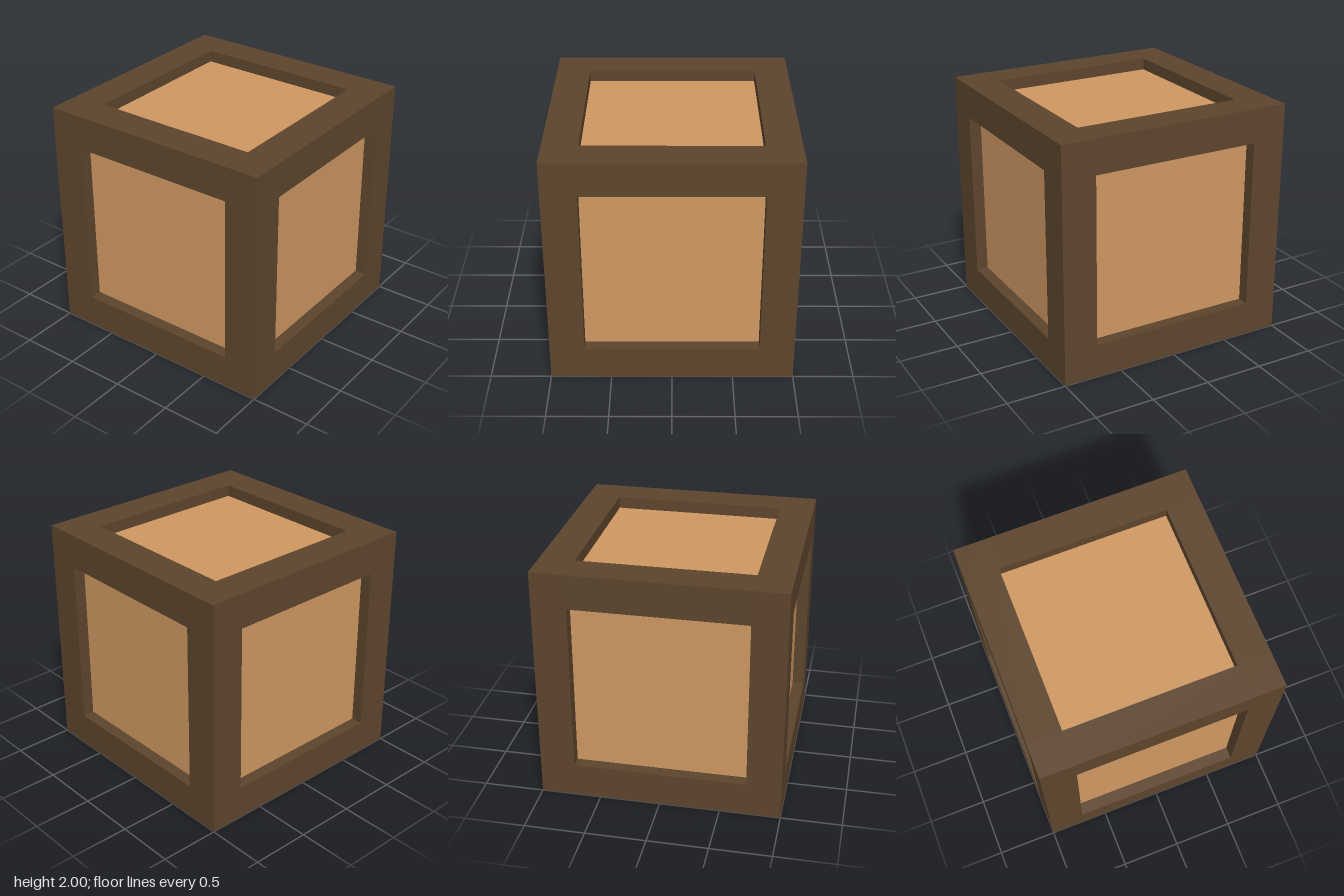
import * as THREE from 'three';

const SIZE = 2;        // outer edge of the crate
const OPENING = 1.428; // clear width between beams
const RECESS = 0.1;    // how far the panels sit behind the frame
const BEAM = (SIZE - OPENING) / 2;

export function createModel() {
  const group = new THREE.Group();
  group.name = 'crate';
  const darkWood = new THREE.MeshStandardMaterial({ color: 0x5d452d });
  const lightWood = new THREE.MeshStandardMaterial({ color: 0xcf9862 });

  const addBox = (name, material, size, position) => {
    const mesh = new THREE.Mesh(new THREE.BoxGeometry(...size), material);
    mesh.name = name;
    mesh.position.set(...position);
    group.add(mesh);
  };

  // Inner box whose six sides show as the recessed panels
  const inner = SIZE - 2 * RECESS;
  addBox('panels', lightWood, [inner, inner, inner], [0, SIZE / 2, 0]);

  // Frame: four posts, and rails fitted between them at top and bottom
  const c = (SIZE - BEAM) / 2;
  for (const a of [-1, 1]) {
    for (const b of [-1, 1]) {
      const y = SIZE / 2 + a * c;
      addBox('cornerPost', darkWood, [BEAM, SIZE, BEAM], [a * c, SIZE / 2, b * c]);
      addBox('crossRail', darkWood, [OPENING, BEAM, BEAM], [0, y, b * c]);
      addBox('sideRail', darkWood, [BEAM, BEAM, OPENING], [b * c, y, 0]);
    }
  }
  return group;
}
